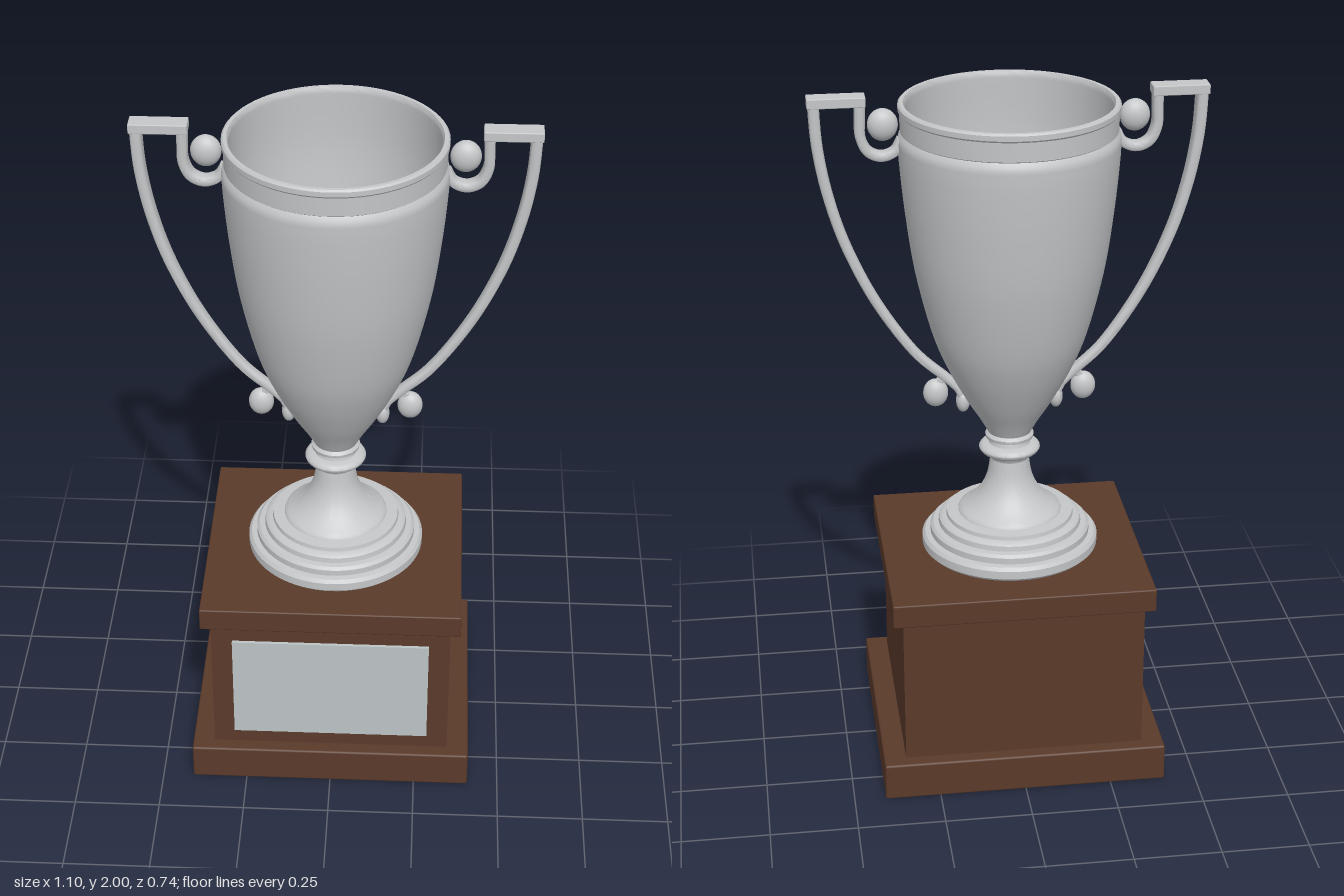
import * as THREE from 'three';
import { toCreasedNormals } from 'three/addons/utils/BufferGeometryUtils.js';
import { RoundedBoxGeometry } from 'three/addons/geometries/RoundedBoxGeometry.js';

const material = (name, color) => {
  const m = new THREE.MeshStandardMaterial({ color });
  m.name = name;
  return m;
};
const v2 = ([x, y]) => new THREE.Vector2(x, y);

function addMesh(parent, name, geometry, mat, x = 0, y = 0, z = 0) {
  const mesh = new THREE.Mesh(geometry, mat);
  mesh.name = name;
  mesh.position.set(x, y, z);
  parent.add(mesh);
  return mesh;
}

// Turned part with crisp steps and smooth flanks
const turned = (points) => toCreasedNormals(new THREE.LatheGeometry(points, 72), 0.6);

// Smooth run of profile points
const smooth = (pts, n) => new THREE.SplineCurve(pts.map(v2)).getPoints(n);

// Bar with a rounded-square section swept along a curve in the xy plane
// size(t) returns [thickness in plane, width in z]
function sweep(pts, size, steps = 40, sides = 16) {
  const curve = new THREE.SplineCurve(pts.map(v2));
  const pos = [], index = [];
  for (let i = 0; i <= steps + 2; i++) {
    const t = Math.min(Math.max((i - 1) / steps, 0), 1);
    const p = curve.getPointAt(t), d = curve.getTangentAt(t);
    const capped = i === 0 || i === steps + 2 ? 0.001 : 1;
    const [thick, wide] = size(t);
    for (let j = 0; j < sides; j++) {
      const a = (j / sides) * Math.PI * 2;
      const soft = (v) => Math.sign(v) * Math.sqrt(Math.abs(v));
      const n = soft(Math.cos(a)) * thick * 0.5 * capped;
      const b = soft(Math.sin(a)) * wide * 0.5 * capped;
      pos.push(p.x - d.y * n, p.y + d.x * n, b);
      if (i > 0) {
        const k = (j + 1) % sides, r0 = (i - 1) * sides, r1 = i * sides;
        index.push(r0 + j, r0 + k, r1 + k, r0 + j, r1 + k, r1 + j);
      }
    }
  }
  const g = new THREE.BufferGeometry();
  g.setAttribute('position', new THREE.Float32BufferAttribute(pos, 3));
  g.setIndex(index);
  return toCreasedNormals(g, 0.7);
}

function createHandle(silver) {
  const handle = new THREE.Group();
  // Long arm sweeping from the top corner down to the bowl
  addMesh(handle, 'handleArm', sweep(
    [[0.53, 1.985], [0.523, 1.86], [0.498, 1.72], [0.452, 1.57], [0.375, 1.405],
      [0.272, 1.25], [0.18, 1.162], [0.145, 1.125], [0.133, 1.085]],
    (t) => [0.032 - 0.008 * t, 0.054 - 0.022 * t]), silver);
  // Flat bar across the top
  addMesh(handle, 'handleTopBar', new RoundedBoxGeometry(0.158, 0.028, 0.054, 1, 0.003), silver, 0.469, 1.986, 0);
  // Hook curling back to the rim
  addMesh(handle, 'handleHook', sweep(
    [[0.406, 1.985], [0.407, 1.93], [0.406, 1.885], [0.388, 1.845], [0.352, 1.828],
      [0.315, 1.84], [0.296, 1.872]],
    (t) => [0.03 - 0.004 * t, 0.052 - 0.012 * t]), silver);
  // Scroll balls and the end leaf
  const ball = (name, x, y, sx, sy, sz) =>
    addMesh(handle, name, new THREE.SphereGeometry(1, 24, 16), silver, x, y, 0).scale.set(sx, sy, sz);
  ball('upperBall', 0.345, 1.916, 0.042, 0.045, 0.031);
  ball('lowerBall', 0.212, 1.118, 0.036, 0.042, 0.028);
  ball('endLeaf', 0.134, 1.088, 0.02, 0.034, 0.024);
  // Short link from the arm to the lower ball
  addMesh(handle, 'ballLink', sweep([[0.185, 1.162], [0.2, 1.155], [0.21, 1.13]], () => [0.02, 0.026], 8, 12), silver);
  return handle;
}

export function createModel() {
  const model = new THREE.Group();
  model.name = 'trophy';
  const wood = material('darkWood', 0x5a3a2a);
  const silver = material('silver', 0xc4c6c8);
  const plateMetal = material('plateMetal', 0xbdc4c6);

  // Wooden plinth
  const plinth = new THREE.Group();
  plinth.name = 'plinth';
  model.add(plinth);
  addMesh(plinth, 'plinthFoot', new RoundedBoxGeometry(0.82, 0.112, 0.74, 1, 0.006), wood, 0, 0.056, 0);
  addMesh(plinth, 'plinthBlock', new THREE.BoxGeometry(0.692, 0.46, 0.66), wood, 0, 0.335, 0);
  addMesh(plinth, 'plinthTop', new RoundedBoxGeometry(0.75, 0.07, 0.704, 1, 0.004), wood, 0, 0.591, 0);
  addMesh(plinth, 'namePlate', new THREE.BoxGeometry(0.57, 0.34, 0.009), plateMetal, 0, 0.33, 0.3345);

  const cup = new THREE.Group();
  cup.name = 'cup';
  model.add(cup);

  // Stepped foot flaring up into the stem
  addMesh(cup, 'footAndStem', turned([
    ...[[0, 0.626], [0.246, 0.626], [0.256, 0.636], [0.256, 0.66], [0.248, 0.67], [0.232, 0.672],
      [0.232, 0.69], [0.224, 0.698], [0.208, 0.7], [0.206, 0.715], [0.198, 0.722], [0.185, 0.724],
      [0.183, 0.735], [0.15, 0.738]].map(v2),
    ...smooth([[0.147, 0.745], [0.115, 0.77], [0.085, 0.805], [0.065, 0.85], [0.056, 0.905]], 16),
  ]), silver);

  // Collar rings between the stem and the bowl
  addMesh(cup, 'stemCollar', turned([
    ...smooth([[0.054, 0.9], [0.062, 0.918], [0.08, 0.926], [0.088, 0.938], [0.08, 0.949], [0.06, 0.954]], 14),
    ...[[0.057, 0.965], [0.068, 0.97], [0.07, 0.98], [0.062, 0.988], [0.06, 1.0]].map(v2),
  ]), silver);

  // Hollow bowl with a rim band
  addMesh(cup, 'bowl', turned([
    ...smooth([[0.06, 0.985], [0.085, 1.03], [0.128, 1.1], [0.18, 1.2], [0.222, 1.31], [0.265, 1.49],
      [0.289, 1.66], [0.302, 1.8], [0.305, 1.865]], 40),
    ...[[0.302, 1.878], [0.294, 1.889], [0.298, 1.892], [0.299, 1.945], [0.303, 1.95], [0.303, 1.964],
      [0.298, 1.969], [0.288, 1.969], [0.284, 1.962]].map(v2),
    ...smooth([[0.284, 1.95], [0.286, 1.8], [0.274, 1.66], [0.25, 1.49], [0.207, 1.31], [0.163, 1.2],
      [0.11, 1.1], [0.06, 1.045], [0, 1.03]], 40),
  ]), silver);

  // Pair of handles
  for (const side of [1, -1]) {
    const handle = createHandle(silver);
    handle.name = side > 0 ? 'leftHandle' : 'rightHandle';
    handle.rotation.y = side > 0 ? 0 : Math.PI;
    cup.add(handle);
  }
  return model;
}
